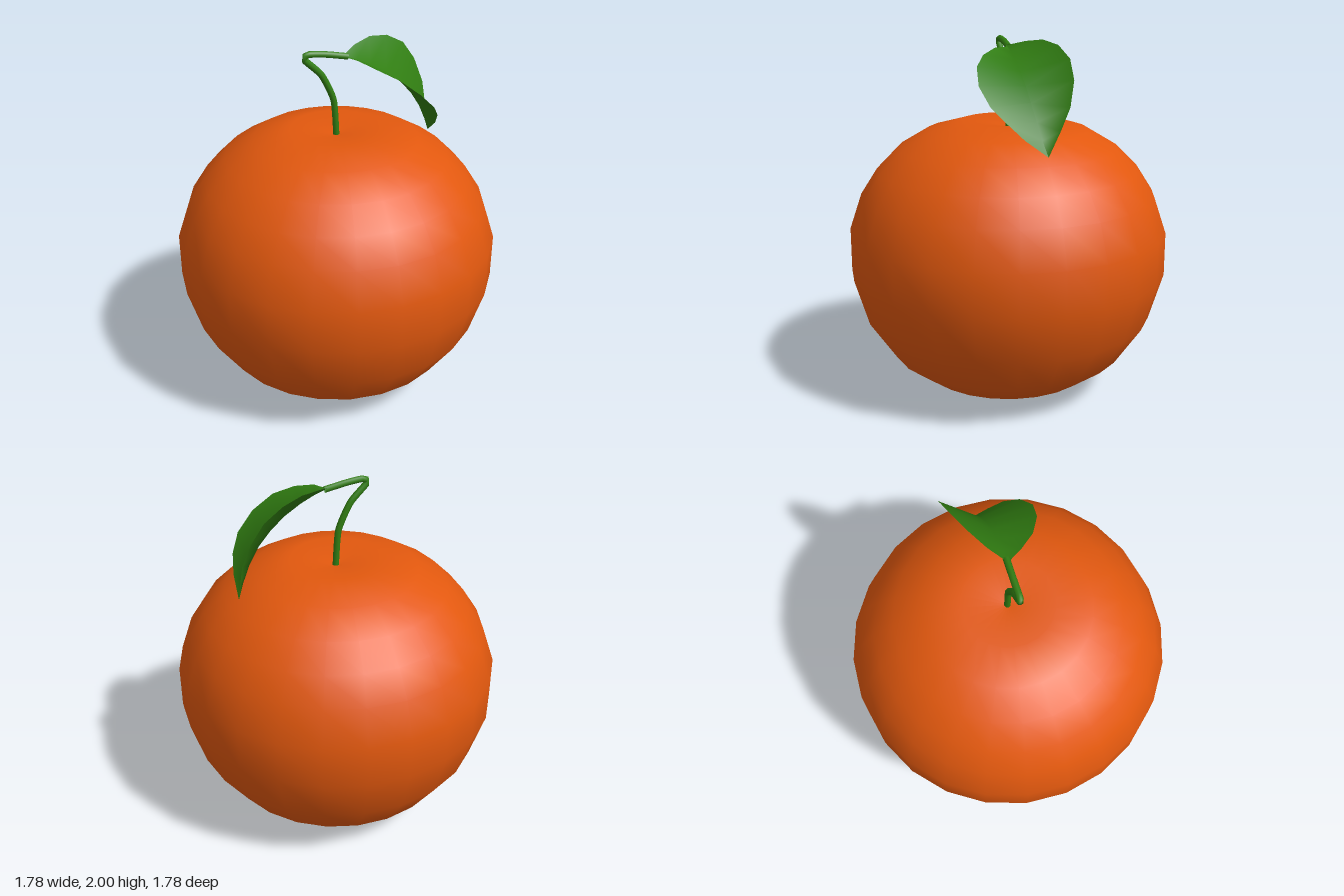
import * as THREE from 'three';

const orange = new THREE.MeshStandardMaterial({ color: 0xe2580e });
orange.name = 'orange peel';
const green = new THREE.MeshStandardMaterial({ color: 0x317e12, side: THREE.DoubleSide });
green.name = 'leaf green';

function addMesh(parent, name, geometry, material) {
  const mesh = new THREE.Mesh(geometry, material);
  mesh.name = name;
  parent.add(mesh);
}

// Round body with a shallow dimple at the top
function fruitGeometry() {
  const profile = [
    [0, 0.005], [0.26, 0.02], [0.48, 0.09], [0.66, 0.22], [0.81, 0.44], [0.888, 0.7],
    [0.888, 0.94], [0.82, 1.14], [0.73, 1.28], [0.61, 1.4], [0.45, 1.495], [0.25, 1.55], [0, 1.51],
  ].map(([r, y]) => new THREE.Vector2(r, y));
  return new THREE.LatheGeometry(profile, 24);
}

// Thin stalk that rises, bends sharply and runs to the leaf
function stemGeometry() {
  const path = new THREE.CatmullRomCurve3([
    [0.005, 1.48, -0.003], [-0.012, 1.71, -0.003], [-0.08, 1.86, -0.006], [-0.175, 1.955, -0.008],
    [-0.155, 1.98, -0.006], [-0.06, 1.972, 0.002], [0.06, 1.95, 0.015],
  ].map((p) => new THREE.Vector3(...p)), false, 'catmullrom', 0.3);
  return new THREE.TubeGeometry(path, 30, 0.018, 8);
}

// Folded, drooping leaf: back edge, midrib and front edge from base to tip
function leafGeometry() {
  const back = [
    [0.04, 1.96, 0.01], [0.13, 1.985, -0.055], [0.24, 2, -0.11], [0.36, 1.98, -0.15], [0.47, 1.92, -0.17],
    [0.54, 1.82, -0.165], [0.58, 1.69, -0.13], [0.578, 1.57, -0.08], [0.57, 1.44, -0.02],
  ];
  const rib = [
    [0.04, 1.955, 0.015], [0.11, 1.93, 0.02], [0.19, 1.893, 0.025], [0.28, 1.84, 0.027], [0.36, 1.775, 0.027],
    [0.43, 1.7, 0.025], [0.49, 1.61, 0.015], [0.535, 1.52, 0], [0.57, 1.44, -0.02],
  ];
  const front = [
    [0.04, 1.95, 0.02], [0.08, 1.95, 0.1], [0.15, 1.92, 0.19], [0.25, 1.87, 0.255], [0.36, 1.785, 0.28],
    [0.46, 1.69, 0.25], [0.52, 1.61, 0.18], [0.55, 1.53, 0.1], [0.57, 1.44, -0.02],
  ];
  const positions = [];
  const indices = [];
  rib.forEach((p, i) => positions.push(...back[i], ...p, ...front[i]));
  for (let i = 0; i < rib.length - 1; i++) {
    for (let j = 0; j < 2; j++) {
      const a = i * 3 + j;
      indices.push(a, a + 1, a + 3, a + 1, a + 4, a + 3);
    }
  }
  const geometry = new THREE.BufferGeometry();
  geometry.setAttribute('position', new THREE.Float32BufferAttribute(positions, 3));
  geometry.setIndex(indices);
  geometry.computeVertexNormals();
  return geometry;
}

export function createModel() {
  const model = new THREE.Group();
  model.name = 'fruit with leaf';
  addMesh(model, 'fruit', fruitGeometry(), orange);
  addMesh(model, 'stem', stemGeometry(), green);
  addMesh(model, 'leaf', leafGeometry(), green);
  return model;
}
